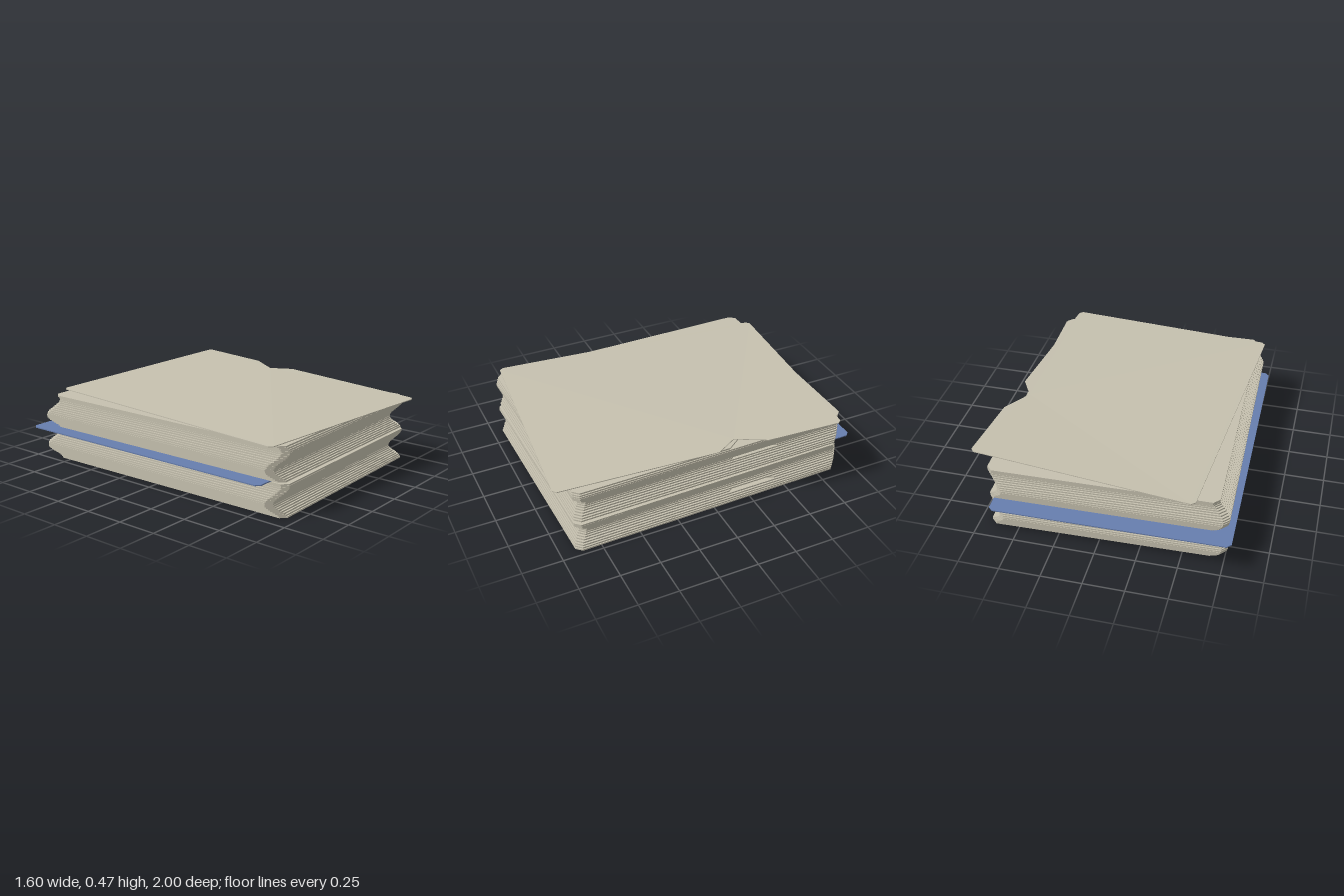
import * as THREE from 'three';

const W = 1.38, D = 1.79;

// Sheet outline with clipped corners and an optional tear in the right edge
function sheetGeometry(w, d, thick, clip, torn) {
  const a = w / 2, b = d / 2, c = clip;
  const pts = [[-a + c, -b], [a - c, -b], [a, -b + c]];
  if (torn) pts.push([a, 0.1], [a - 0.09, 0.23], [a, 0.42]);
  pts.push([a, b - c], [a - c, b], [-a + c, b], [-a, b - c], [-a, -b + c]);
  const shape = new THREE.Shape(pts.map(([x, y]) => new THREE.Vector2(x, y)));
  const geo = new THREE.ExtrudeGeometry(shape, { depth: thick, bevelEnabled: false });
  return geo.rotateX(-Math.PI / 2);
}

function addSheet(group, name, geo, mat, x, y, z, turn) {
  const mesh = new THREE.Mesh(geo, mat);
  mesh.name = name;
  mesh.position.set(x, y, z);
  mesh.rotation.y = turn;
  group.add(mesh);
}

export function createModel() {
  const model = new THREE.Group();
  model.name = 'paperStack';
  const paper = new THREE.MeshStandardMaterial({ color: 0xc6c1af });
  paper.name = 'paper';
  const blue = new THREE.MeshStandardMaterial({ color: 0x677eae });
  blue.name = 'blueDivider';

  // Pile of sheets drifting in a wave as it rises
  const pile = new THREE.Group();
  pile.name = 'sheets';
  model.add(pile);
  const count = 42, step = 0.01, dividerIndex = 20;
  const plain = sheetGeometry(W, D, 0.0096, 0.035, false);
  const torn = sheetGeometry(W, D, 0.0096, 0.035, true);
  for (let i = 0; i < count; i++) {
    if (i === dividerIndex) continue;
    const y = i * step;
    const wave = (2 * Math.PI * (y - 0.19)) / 0.197;
    const isTorn = [5, 17, 28, 41].includes(i);
    addSheet(pile, 'sheet' + i, isTorn ? torn : plain, paper,
      -0.022 + 0.034 * Math.cos(wave), y,
      -0.002 + 0.028 * Math.cos(wave + 0.2),
      0.025 - 0.01 * Math.sin(wave));
  }

  // Blue divider sticking out at the back and left
  addSheet(model, 'divider', sheetGeometry(1.44, 1.82, 0.007, 0.025, false), blue,
    -0.065, 0.202, -0.08, 0.014);

  // Twisted top sheet with its back right corner lifted
  const top = sheetGeometry(1.38, 1.81, 0.005, 0.022, true);
  const p = top.attributes.position;
  for (let i = 0; i < p.count; i++) {
    const u = p.getX(i) / 1.38 + 0.5, v = 0.5 - p.getZ(i) / 1.81;
    p.setY(i, p.getY(i) + 0.042 * u * v);
  }
  top.computeVertexNormals();
  addSheet(model, 'topSheet', top, paper, 0.04, 0.422, 0.04, -0.084);

  return model;
}
